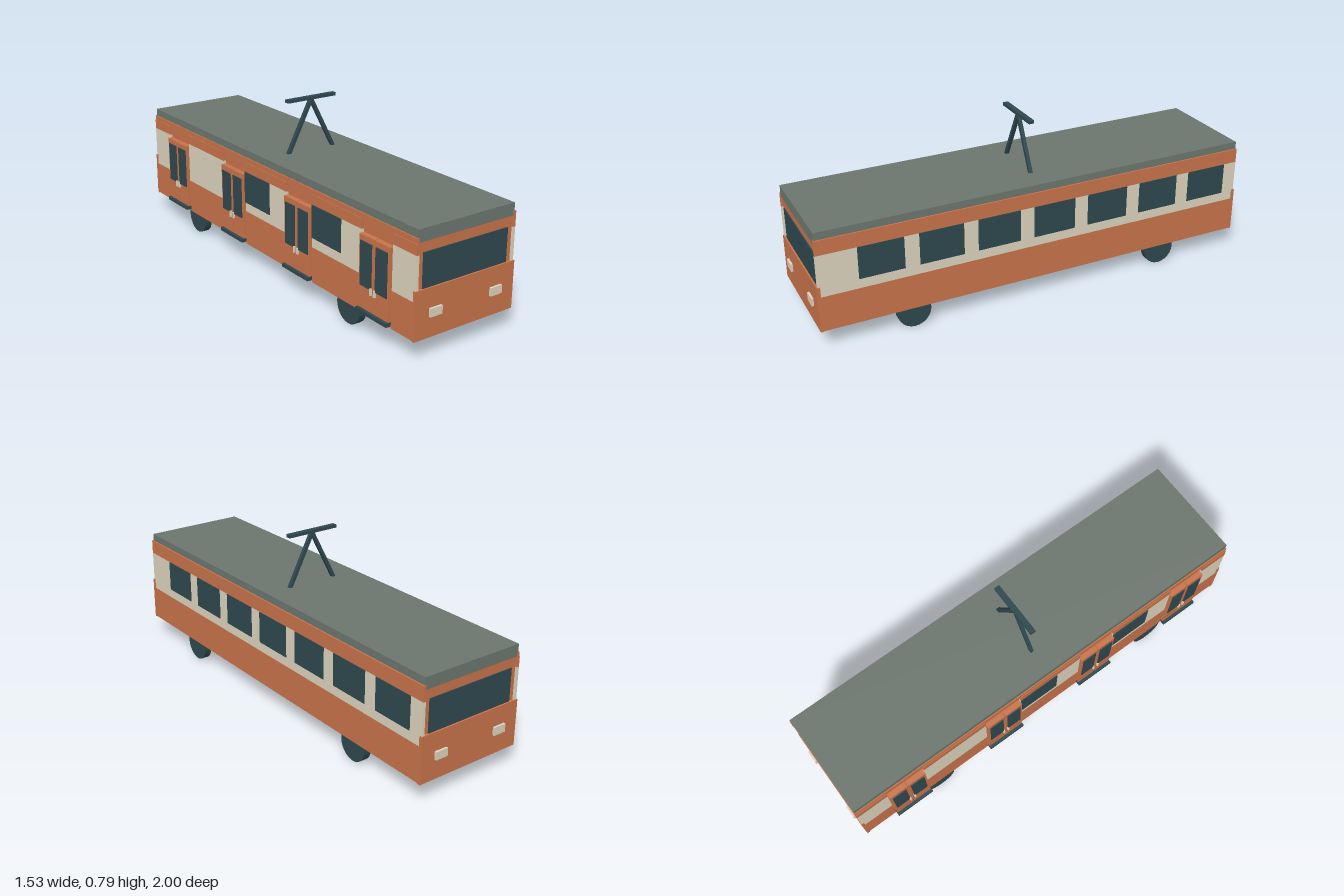
import * as THREE from 'three';

const material = (name, color) => {
  const m = new THREE.MeshStandardMaterial({ color });
  m.name = name;
  return m;
};

export function createModel() {
  const orange = material('orange paint', 0xc8734a);
  const cream = material('cream paint', 0xdcd3bd);
  const dark = material('dark glass and metal', 0x2e484e);
  const grey = material('grey roof', 0x6b766e);

  const model = new THREE.Group();
  model.name = 'tram';
  const tram = new THREE.Group();
  tram.name = 'tramBody';
  tram.rotation.y = THREE.MathUtils.degToRad(32.6);
  model.add(tram);

  // Box given by its limits on each axis
  const box = (name, mat, [x0, x1], [y0, y1], [z0, z1]) => {
    const mesh = new THREE.Mesh(new THREE.BoxGeometry(x1 - x0, y1 - y0, z1 - z0), mat);
    mesh.position.set((x0 + x1) / 2, (y0 + y1) / 2, (z0 + z1) / 2);
    mesh.name = name;
    tram.add(mesh);
    return mesh;
  };

  const L = 1.02;
  const sill = 0.09, waist = 0.25, band = 0.44, eave = 0.506;

  // Core and roof
  box('bodyCore', orange, [-0.24, 0.24], [sill, 0.487], [-1.012, 1.012]);
  box('roof', grey, [-0.245, 0.245], [0.487, 0.54], [-1.017, 1.017]);

  // Closed side: orange skirt, cream band, orange fascia, seven windows
  const right = [0.24, 0.252];
  box('sideSkirt', orange, right, [sill, waist], [-L, L]);
  box('sideBand', cream, right, [waist, band], [-L, L]);
  box('sideFascia', orange, right, [band, eave], [-L, L]);
  for (let i = -3; i <= 3; i++) {
    const c = i * 0.2663 - 0.053;
    box('sideWindow', dark, [0.25, 0.255], [0.294, band], [c - 0.1, c + 0.1]);
  }

  // Door side: panels between the door openings
  const left = [-0.253, -0.24];
  const doors = [-0.77, -0.25, 0.27, 0.79];
  const half = 0.095;
  box('doorSideFascia', orange, [-0.25, -0.24], [0.484, eave], [-L, L]);
  for (let i = 0; i <= doors.length; i++) {
    const z0 = i === 0 ? -L : doors[i - 1] + half;
    const z1 = i === doors.length ? L : doors[i] - half;
    box('doorSideSkirt', orange, left, [sill, waist], [z0, z1]);
    box('doorSideBand', cream, left, [waist, band], [z0, z1]);
    box('doorSideHeader', orange, left, [band, 0.484], [z0, z1]);
    if (i === 2 || i === 3) {
      box('doorSideWindow', dark, [-0.257, -0.252], [0.294, band], [z0, z0 + 0.2]);
    }
  }

  // Double doors with panes, handles and a step
  for (const c of doors) {
    for (const s of [-1, 1]) {
      const m = c + s * 0.047;
      box('doorLeaf', orange, [-0.265, -0.24], [0.096, 0.427], [m - 0.0455, m + 0.0455]);
      box('doorPane', dark, [-0.269, -0.264], [0.214, 0.403], [m - 0.035, m + 0.035]);
      const h = c + s * 0.012;
      box('doorHandle', cream, [-0.274, -0.264], [0.193, 0.222], [h - 0.004, h + 0.004]);
    }
    box('doorStep', dark, [-0.278, -0.24], [0.1, 0.116], [c - half, c + half]);
  }

  // Matching cab ends
  for (const s of [-1, 1]) {
    const span = (a, b) => (s > 0 ? [a, b] : [-b, -a]);
    box('cabPanel', orange, [-0.256, 0.256], [sill, 0.297], span(1.01, 1.024));
    box('windscreen', dark, [-0.216, 0.216], [0.297, 0.443], span(1.011, 1.017));
    for (const u of [-0.156, 0.156]) {
      box('headlight', cream, [u - 0.03, u + 0.03], [0.178, 0.214], span(1.022, 1.034));
    }
  }

  // Wheels
  for (const z of [-0.614, 0.614]) {
    for (const x of [-0.233, 0.233]) {
      const wheel = new THREE.Mesh(new THREE.CylinderGeometry(0.075, 0.075, 0.035, 24), dark);
      wheel.rotation.z = Math.PI / 2;
      wheel.position.set(x, 0.075, z);
      wheel.name = 'wheel';
      tram.add(wheel);
    }
  }

  // Current collector: two leaning arms and a crossbar
  box('collectorBar', dark, [-0.128, 0.128], [0.772, 0.786], [-0.0125, 0.0125]);
  for (const s of [-1, 1]) {
    const dx = 0.122, dy = 0.238;
    const arm = new THREE.Mesh(new THREE.BoxGeometry(0.016, Math.hypot(dx, dy), 0.016), dark);
    arm.position.set((s * dx) / 2, 0.535 + dy / 2, 0);
    arm.rotation.z = s * Math.atan2(dx, dy);
    arm.name = 'collectorArm';
    tram.add(arm);
  }

  return model;
}
